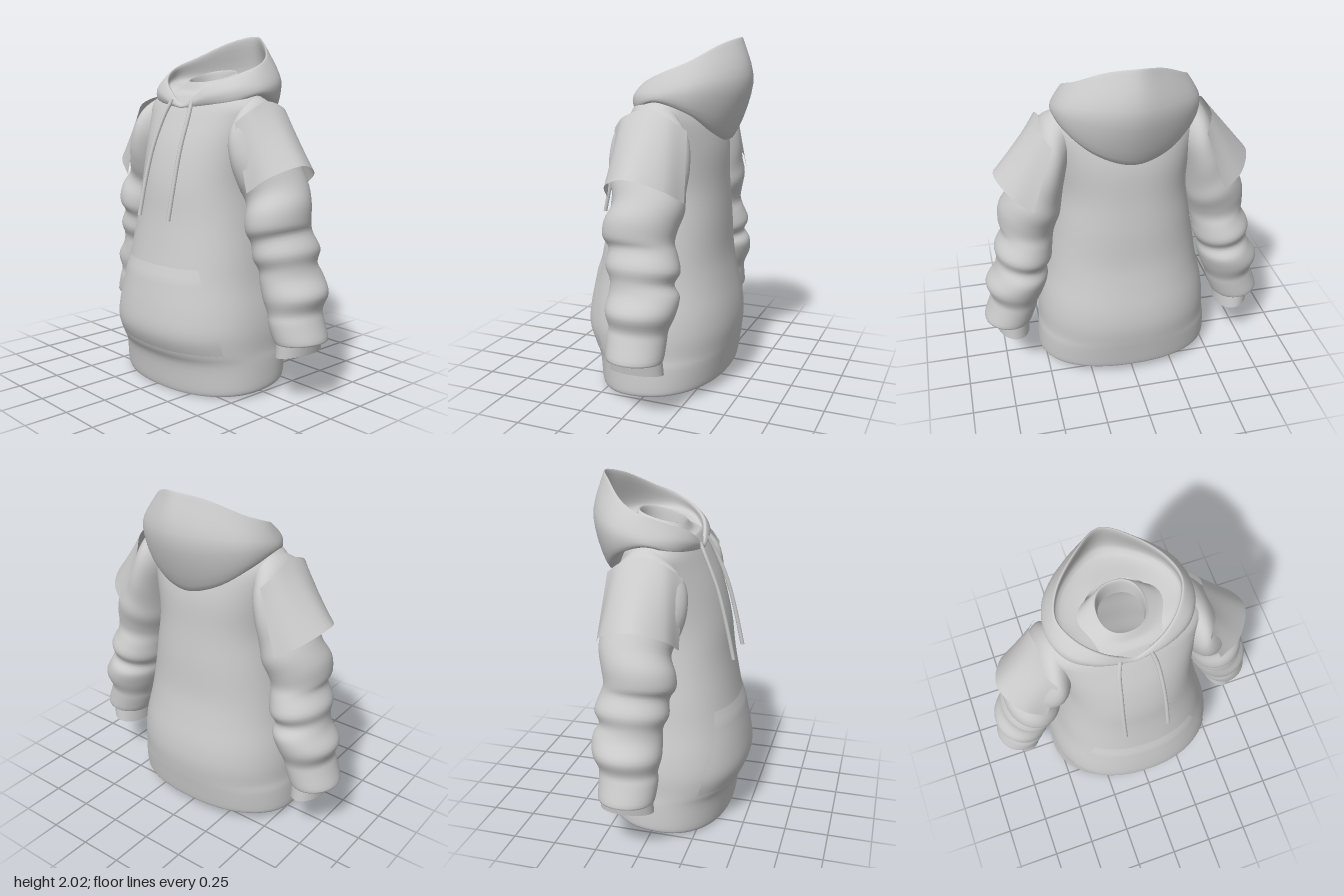
import * as THREE from 'three';

const V = (x, y, z) => new THREE.Vector3(x, y, z);
const material = new THREE.MeshStandardMaterial({ color: 0xcccccc, side: THREE.DoubleSide });

// Surface through rows of points; closed joins the last column to the first
function loft(rows, closed = true) {
  const n = rows[0].length, index = [];
  for (let i = 0; i < rows.length - 1; i++) {
    for (let j = 0; j < (closed ? n : n - 1); j++) {
      const k = (j + 1) % n, a = i * n + j, b = i * n + k;
      index.push(a, b, b + n, a, b + n, a + n);
    }
  }
  const g = new THREE.BufferGeometry().setFromPoints(rows.flat());
  g.setIndex(index);
  g.computeVertexNormals();
  return g;
}

// Mirror across x = 0, keeping faces outward
function mirror(geo) {
  const g = geo.clone().scale(-1, 1, 1), ix = g.index.array;
  for (let i = 0; i < ix.length; i += 3) [ix[i], ix[i + 1]] = [ix[i + 1], ix[i]];
  g.computeVertexNormals();
  return g;
}

// Catmull-Rom interpolation of a table of numbers
function refine(table, steps) {
  const out = [], last = table.length - 1;
  for (let i = 0; i < last; i++) {
    const [p, q, r, s] = [i - 1, i, i + 1, i + 2].map(k => table[Math.min(Math.max(k, 0), last)]);
    for (let k = 0; k < steps; k++) {
      const t = k / steps;
      out.push(q.map((v, c) => {
        const slope = r[c] - p[c];
        const bend = 2 * p[c] - 5 * v + 4 * r[c] - s[c];
        const twist = 3 * (v - r[c]) + s[c] - p[c];
        return v + 0.5 * t * (slope + t * (bend + t * twist));
      }));
    }
  }
  out.push(table[last]);
  return out;
}

// Extra rows between given rows of points
function smoothRows(rows, steps) {
  const flat = rows.map(r => r.flatMap(p => p.toArray()));
  return refine(flat, steps).map(r => rows[0].map((_, j) => V(r[3 * j], r[3 * j + 1], r[3 * j + 2])));
}

const POWER = 2.25;
const spow = (v, e) => Math.sign(v) * Math.abs(v) ** e;

// Body sections: height, half width, front z, back z
const bodyTable = refine([
  [0.04, 0.525, 0.375, -0.36],
  [0.07, 0.535, 0.385, -0.37],
  [0.20, 0.53, 0.405, -0.39],
  [0.27, 0.522, 0.445, -0.40],
  [0.38, 0.518, 0.468, -0.41],
  [0.50, 0.50, 0.455, -0.40],
  [0.65, 0.465, 0.425, -0.37],
  [0.80, 0.44, 0.395, -0.345],
  [1.00, 0.405, 0.36, -0.335],
  [1.20, 0.378, 0.335, -0.32],
  [1.40, 0.395, 0.28, -0.31],
  [1.55, 0.425, 0.215, -0.275],
  [1.63, 0.43, 0.175, -0.235],
  [1.69, 0.36, 0.14, -0.21],
  [1.73, 0.24, 0.11, -0.20],
  [1.78, 0.145, 0.08, -0.205],
  [1.785, 0.128, 0.068, -0.19],
  [1.70, 0.12, 0.06, -0.18],
], 4);

function bodyRing([y, hw, zf, zb], scale = 1) {
  const cz = (zf + zb) / 2, rz = (zf - zb) / 2, ring = [];
  for (let j = 0; j < 64; j++) {
    const a = j / 64 * Math.PI * 2;
    const x = hw * scale * spow(Math.sin(a), 2 / POWER);
    const z = cz + rz * scale * spow(Math.cos(a), 2 / POWER);
    // hem drops toward the front, collar rises toward the back
    const hem = -0.08 * z * Math.max(0, 1 - (y - 0.04) / 0.25);
    const collar = y > 1.69 ? -0.25 * (z + 0.06) * Math.min(1, (y - 1.69) / 0.06) : 0;
    ring.push(V(x, y + hem + collar, z));
  }
  return ring;
}

// z of the body's front surface
function bodyFront(x, y) {
  const i = Math.max(1, bodyTable.findIndex(r => r[0] >= y));
  const a = bodyTable[i - 1], b = bodyTable[i], t = (y - a[0]) / (b[0] - a[0]);
  const [, hw, zf, zb] = a.map((v, c) => v + (b[c] - v) * t);
  return (zf + zb) / 2 + (zf - zb) / 2 * Math.max(0, 1 - Math.abs(x / hw) ** POWER) ** (1 / POWER);
}

// Sleeve sections: outer x, y, inner x, y, front z, back z
const sleeveTable = [
  [0.39, 1.68, 0.30, 1.45, 0.08, -0.18],
  [0.465, 1.62, 0.33, 1.36, 0.18, -0.25],
  [0.545, 1.47, 0.35, 1.26, 0.195, -0.27],
  [0.62, 1.33, 0.365, 1.16, 0.165, -0.265],
  [0.675, 1.22, 0.38, 1.08, 0.13, -0.27],
  [0.725, 1.12, 0.40, 1.00, 0.165, -0.245],
  [0.735, 1.02, 0.415, 0.94, 0.17, -0.23],
  [0.725, 0.96, 0.43, 0.87, 0.135, -0.25],
  [0.77, 0.87, 0.44, 0.79, 0.14, -0.275],
  [0.765, 0.79, 0.47, 0.73, 0.11, -0.245],
  [0.785, 0.72, 0.47, 0.67, 0.11, -0.28],
  [0.84, 0.63, 0.495, 0.58, 0.115, -0.27],
  [0.815, 0.54, 0.53, 0.50, 0.095, -0.235],
  [0.83, 0.48, 0.545, 0.44, 0.10, -0.23],
  [0.865, 0.38, 0.58, 0.35, 0.09, -0.225],
  [0.845, 0.365, 0.60, 0.35, 0.07, -0.205],
];
const cuffTable = [
  [0.82, 0.42, 0.60, 0.40, 0.075, -0.21],
  [0.80, 0.30, 0.60, 0.26, 0.08, -0.222],
];

function sleeveRing([xo, yo, xi, yi, zf, zb]) {
  return Array.from({ length: 36 }, (_, j) => {
    const a = j / 36 * Math.PI * 2, s = (1 + Math.sin(a)) / 2;
    return V(xi + (xo - xi) * s, yi + (yo - yi) * s, (zf + zb) / 2 + (zf - zb) / 2 * Math.cos(a));
  });
}
const sleeve = (table, steps) => loft(refine(table, steps).reverse().map(sleeveRing));

// Closed hood ring from points running front to back on the +x side
function hoodRing(half) {
  const left = half.map(p => V(...p));
  const right = left.slice(0, -1).reverse().map(p => V(-p.x, p.y, p.z));
  const curve = new THREE.CatmullRomCurve3([...left, ...right], true);
  return Array.from({ length: 78 }, (_, k) => curve.getPoint(k / 78));
}

export function createModel() {
  const group = new THREE.Group();
  const add = (name, geo) => {
    const m = new THREE.Mesh(geo, material);
    m.name = name;
    group.add(m);
  };
  const addPair = (name, geo) => {
    add('left' + name, geo);
    add('right' + name, mirror(geo));
  };

  // Torso with collar, and the closed underside
  add('body', loft(bodyTable.map(r => bodyRing(r))));
  add('hemUnderside', loft([0.001, 0.5, 1].map(s => bodyRing(bodyTable[0], s))));

  // Front pocket panel with slanted openings
  const pocket = [];
  for (let i = 0; i <= 20; i++) {
    const y = 0.26 + 0.48 * i / 20;
    const w = y < 0.4 ? 0.45 : 0.45 - 0.14 * (y - 0.4) / 0.34;
    const lift = 0.012 * Math.min(1, (y - 0.26) / 0.08, (0.74 - y) / 0.08 + 0.1);
    pocket.push(Array.from({ length: 33 }, (_, j) => {
      const x = (j / 16 - 1) * w;
      return V(x, y, bodyFront(x, y) + lift);
    }));
  }
  add('pocket', loft(pocket, false));

  // Hood: under edge, outside, rim, inside
  const hood = [
    [[0.02, 1.62, 0.12], [0.15, 1.65, 0.10], [0.26, 1.68, 0.05], [0.31, 1.70, -0.05], [0.26, 1.69, -0.18], [0.15, 1.60, -0.24], [0, 1.54, -0.27]],
    [[0.02, 1.61, 0.17], [0.20, 1.63, 0.145], [0.33, 1.65, 0.08], [0.395, 1.69, -0.05], [0.35, 1.63, -0.22], [0.20, 1.52, -0.32], [0, 1.46, -0.35]],
    [[0.02, 1.622, 0.185], [0.20, 1.68, 0.165], [0.34, 1.72, 0.08], [0.405, 1.74, -0.07], [0.365, 1.76, -0.25], [0.19, 1.77, -0.405], [0, 1.77, -0.465]],
    [[0.02, 1.64, 0.175], [0.17, 1.73, 0.145], [0.29, 1.79, 0.05], [0.35, 1.84, -0.08], [0.305, 1.89, -0.21], [0.15, 1.97, -0.345], [0, 2.0, -0.415]],
    [[0.02, 1.638, 0.16], [0.16, 1.725, 0.13], [0.275, 1.785, 0.04], [0.335, 1.835, -0.08], [0.29, 1.885, -0.20], [0.14, 1.965, -0.33], [0, 1.995, -0.40]],
    [[0.02, 1.625, 0.15], [0.16, 1.69, 0.12], [0.27, 1.74, 0.04], [0.33, 1.76, -0.08], [0.29, 1.77, -0.22], [0.15, 1.77, -0.36], [0, 1.77, -0.42]],
    [[0.02, 1.62, 0.11], [0.11, 1.68, 0.08], [0.18, 1.72, 0.02], [0.20, 1.73, -0.06], [0.18, 1.74, -0.15], [0.10, 1.75, -0.22], [0, 1.75, -0.24]],
  ].map(hoodRing);
  add('hood', loft(smoothRows(hood, 5)));

  // Sleeves with soft folds, and open inner cuffs
  addPair('Sleeve', sleeve(sleeveTable, 4));
  addPair('Cuff', sleeve(cuffTable, 3));

  // Loose shoulder flaps over the upper arms
  const flap = [
    [[0.53, 1.18, 0.175], [0.65, 1.27, 0.13], [0.74, 1.33, -0.03], [0.67, 1.27, -0.21], [0.55, 1.19, -0.28]],
    [[0.43, 1.55, 0.17], [0.48, 1.62, 0.09], [0.47, 1.66, -0.04], [0.48, 1.62, -0.16], [0.43, 1.55, -0.25]],
  ].map(r => new THREE.CatmullRomCurve3(r.map(p => V(...p))).getPoints(20));
  addPair('ShoulderFlap', loft(smoothRows(flap, 6), false));

  // Drawstrings
  const string = new THREE.CatmullRomCurve3([
    V(0.085, 1.66, 0.175), V(0.105, 1.58, 0.215), V(0.12, 1.40, 0.29), V(0.128, 1.20, 0.345), V(0.13, 1.0, 0.39),
  ]);
  addPair('Drawstring', new THREE.TubeGeometry(string, 24, 0.012, 8));

  return group;
}
